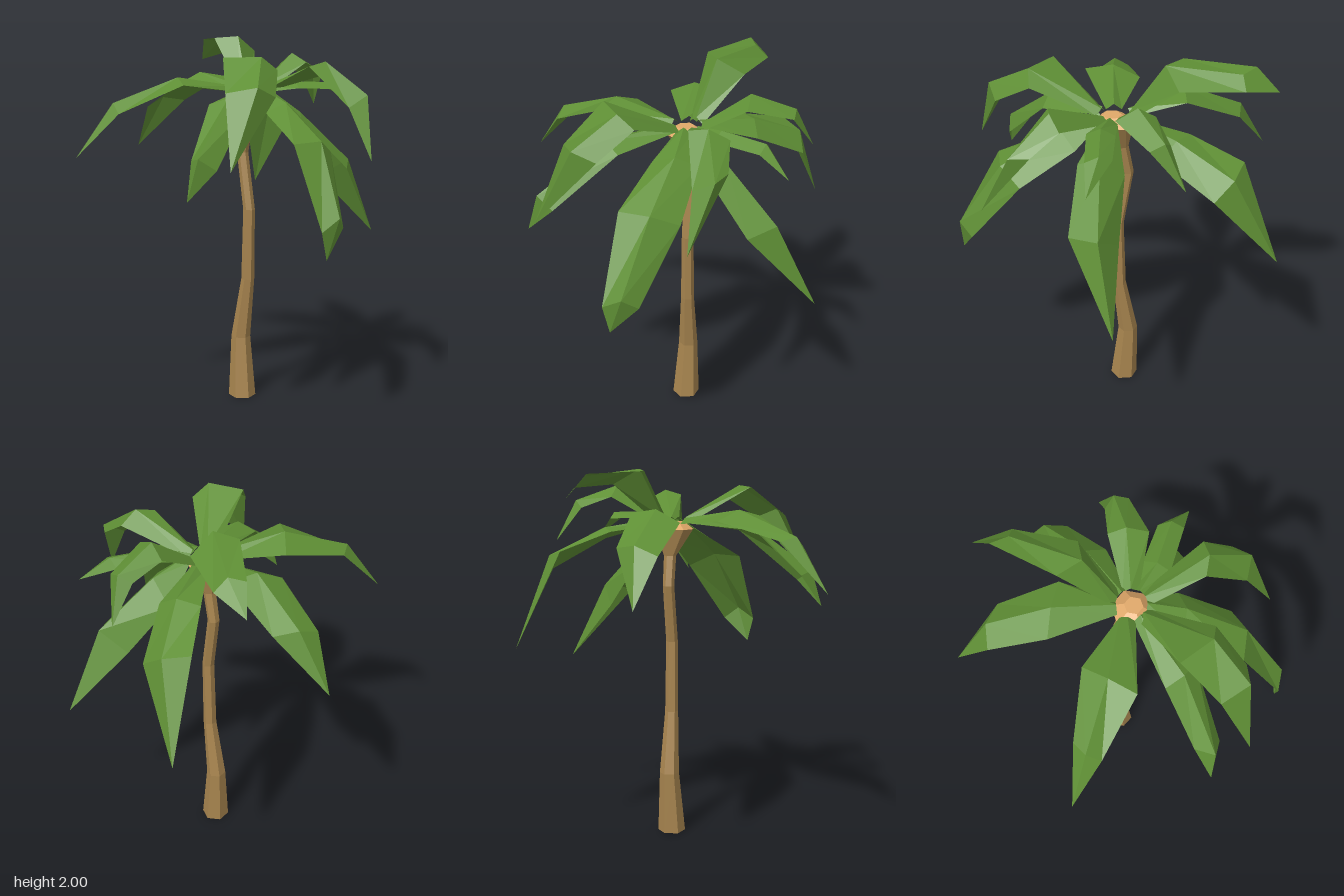
import * as THREE from 'three';

const leafMat = new THREE.MeshStandardMaterial({ color: 0x5f8f35, flatShading: true, side: THREE.DoubleSide });
const barkMat = new THREE.MeshStandardMaterial({ color: 0xa8854f, flatShading: true });
const pithMat = new THREE.MeshStandardMaterial({ color: 0xe0a869, flatShading: true });
const HEART = new THREE.Vector3(0.045, 1.71, -0.095);

// Six-sided tube through rings of [x, y, z, radius], listed from the top down
function hexLoft(rings, mat, name) {
  const geo = new THREE.CylinderGeometry(1, 1, 1, 6, rings.length - 1, false, 0.3);
  const p = geo.attributes.position;
  for (let i = 0; i < p.count; i++) {
    const row = Math.round((0.5 - p.getY(i)) * (rings.length - 1));
    const [x, y, z, r] = rings[row];
    p.setXYZ(i, x + p.getX(i) * r, y, z + p.getZ(i) * r);
  }
  geo.computeVertexNormals();
  const mesh = new THREE.Mesh(geo, mat);
  mesh.name = name;
  return mesh;
}

// Folded leaf: sections of [edge, edge, optional rib] from the heart outward, ending in a tip
function frond(sections, tipPoint, rise = 0.045) {
  const V = (a) => new THREE.Vector3(...a);
  const middle = ([a, b]) => V(a).add(V(b)).multiplyScalar(0.5);
  const tip = V(tipPoint);
  const out = middle(sections[0]).sub(HEART).setY(0).normalize();
  const side = new THREE.Vector3(-out.z, 0, out.x);
  if (side.dot(V(sections[0][0]).sub(V(sections[0][1]))) < 0) side.negate();
  const root = HEART.clone().addScaledVector(out, 0.075);

  // Narrow stalk section
  const rows = [[
    root.clone().addScaledVector(side, 0.04),
    root.clone().add(new THREE.Vector3(0, 0.03, 0)),
    root.clone().addScaledVector(side, -0.04),
  ]];
  // Blade sections; a rib that is not given is pushed out along the upper normal
  sections.forEach((s, i) => {
    const l = V(s[0]), r = V(s[1]);
    const next = i + 1 < sections.length ? middle(sections[i + 1]) : tip;
    const n = next.clone().sub(rows[i][1]).cross(l.clone().sub(r)).normalize();
    if (n.y < 0) n.negate();
    rows.push([l, s[2] ? V(s[2]) : middle(s).addScaledVector(n, rise), r]);
  });
  rows.push([tip, tip, tip]);

  const pos = [];
  const tri = (...v) => v.forEach((q) => pos.push(q.x, q.y, q.z));
  for (let i = 0; i + 1 < rows.length; i++) {
    for (let j = 0; j < 2; j++) {
      const a = rows[i][j], b = rows[i][j + 1], c = rows[i + 1][j + 1], d = rows[i + 1][j];
      tri(a, b, c);
      if (c !== d) tri(a, c, d);
    }
  }
  const geo = new THREE.BufferGeometry();
  geo.setAttribute('position', new THREE.Float32BufferAttribute(pos, 3));
  geo.computeVertexNormals();
  const mesh = new THREE.Mesh(geo, leafMat);
  mesh.name = 'frond';
  return mesh;
}

export function createModel() {
  const palm = new THREE.Group();
  palm.name = 'palmTree';

  // Bent trunk flaring into the crown
  palm.add(hexLoft([
    [0.045, 1.68, -0.09, 0.103],
    [0.005, 1.54, -0.1, 0.033],
    [-0.027, 1.38, -0.098, 0.031],
    [0.027, 1.07, -0.098, 0.032],
    [0.018, 0.68, -0.098, 0.036],
    [-0.035, 0.34, -0.094, 0.053],
    [-0.016, 0, -0.088, 0.075],
  ], barkMat, 'trunk'));

  // Pale heart on top of the trunk
  palm.add(hexLoft([
    [0.055, 1.72, -0.09, 0.048],
    [0.045, 1.679, -0.09, 0.105],
  ], pithMat, 'crownHeart'));

  const fronds = new THREE.Group();
  fronds.name = 'fronds';
  palm.add(fronds);

  // Left fronds
  fronds.add(frond([
    [[-0.36, 1.74, 0.08], [-0.30, 1.78, -0.20]],
    [[-0.66, 1.60, 0.07], [-0.61, 1.63, -0.16]],
  ], [-0.84, 1.36, 0.01]));
  fronds.add(frond([
    [[-0.30, 1.99, -0.13], [-0.20, 1.92, -0.34], [-0.18, 2.0, -0.2]],
    [[-0.61, 1.98, -0.31], [-0.51, 1.91, -0.42], [-0.52, 1.97, -0.35]],
  ], [-0.71, 1.86, -0.38]));
  // Back fronds
  fronds.add(frond([
    [[-0.27, 1.68, -0.33], [-0.07, 1.63, -0.44]],
    [[-0.48, 1.59, -0.52], [-0.27, 1.48, -0.66]],
  ], [-0.605, 1.1, -0.72]));
  fronds.add(frond([
    [[-0.06, 1.85, -0.41], [0.14, 1.86, -0.41], [0.03, 1.91, -0.41]],
    [[-0.07, 1.79, -0.58], [0.05, 1.80, -0.63]],
  ], [-0.10, 1.61, -0.72]));
  fronds.add(frond([
    [[0.06, 1.49, -0.31], [0.28, 1.56, -0.24], [0.19, 1.6, -0.32]],
    [[0.155, 1.23, -0.51], [0.40, 1.30, -0.47], [0.29, 1.33, -0.6]],
  ], [0.285, 0.9, -0.815]));
  fronds.add(frond([
    [[0.11, 1.73, -0.32], [0.24, 1.73, -0.26]],
    [[0.19, 1.72, -0.52], [0.32, 1.72, -0.50]],
  ], [0.36, 1.62, -0.65], 0.035));
  // Right fronds
  fronds.add(frond([
    [[0.40, 1.82, -0.37], [0.40, 1.85, -0.17], [0.42, 1.875, -0.27]],
    [[0.55, 1.72, -0.39], [0.62, 1.65, -0.235], [0.645, 1.71, -0.345]],
  ], [0.77, 1.39, -0.245]));
  fronds.add(frond([
    [[0.28, 1.61, -0.20], [0.29, 1.62, 0.03]],
    [[0.56, 1.43, -0.17], [0.595, 1.49, 0.125]],
    [[0.795, 1.09, -0.02], [0.82, 1.09, 0.155], [0.84, 1.15, 0.055]],
  ], [0.82, 0.95, 0.12], 0.06));
  // Front fronds
  fronds.add(frond([
    [[0.43, 1.84, 0.08], [0.25, 1.9, 0.28], [0.41, 1.905, 0.17]],
    [[0.575, 1.72, 0.23], [0.44, 1.74, 0.43], [0.58, 1.77, 0.35]],
  ], [0.605, 1.39, 0.54]));
  fronds.add(frond([
    [[0.34, 1.66, 0.19], [0.19, 1.67, 0.32]],
    [[0.46, 1.38, 0.50], [0.33, 1.42, 0.55], [0.43, 1.44, 0.59]],
  ], [0.42, 1.24, 0.65]));
  fronds.add(frond([
    [[-0.20, 1.74, 0.225], [0.055, 1.76, 0.375]],
    [[-0.25, 1.65, 0.565], [-0.12, 1.62, 0.65]],
  ], [-0.27, 1.4, 0.81]));

  return palm;
}
